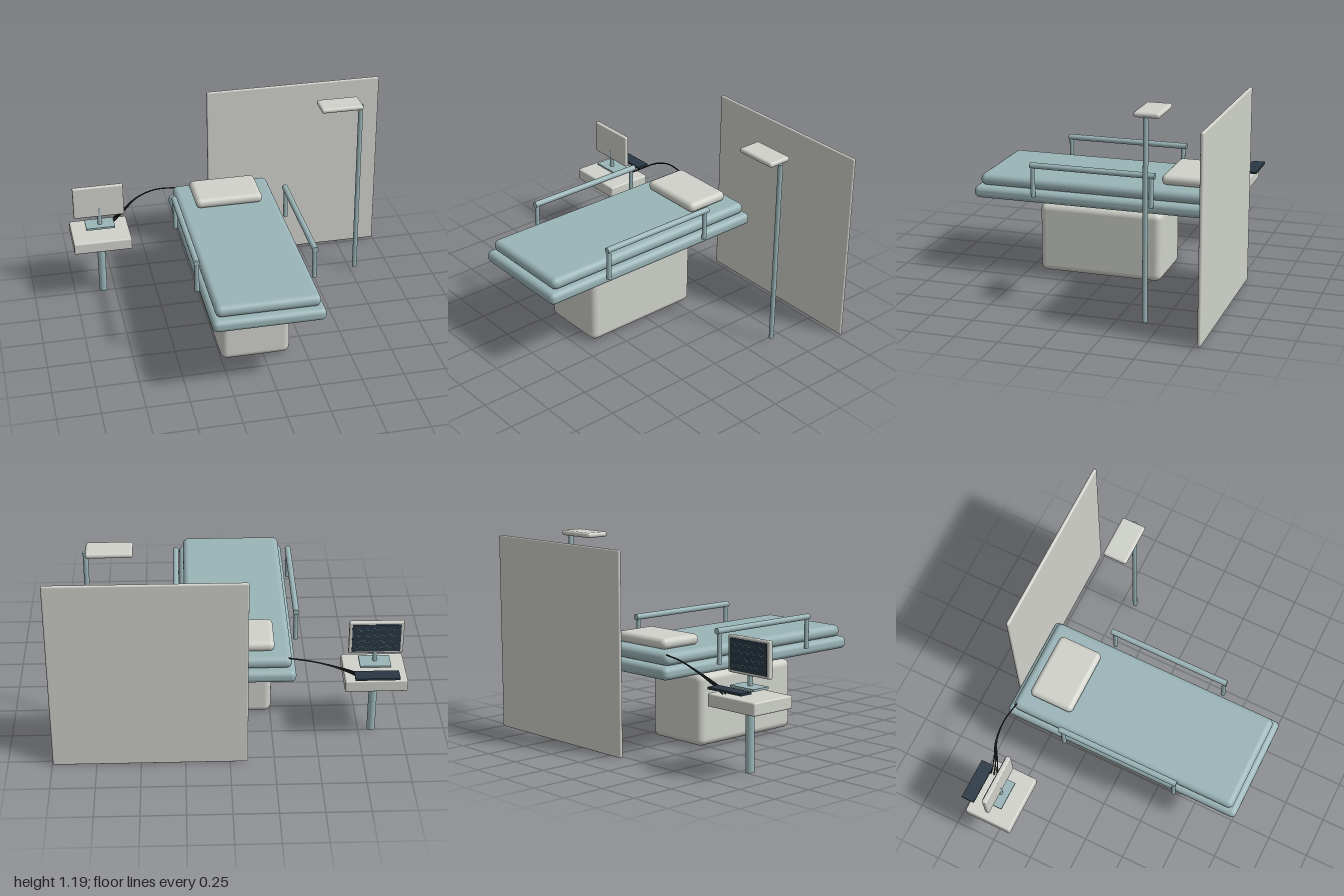
import * as THREE from 'three';
import { RoundedBoxGeometry } from 'three/addons/geometries/RoundedBoxGeometry.js';

const material = (name, color) => {
  const m = new THREE.MeshStandardMaterial({ color });
  m.name = name;
  return m;
};

export function createModel() {
  const shell = material('warm grey shell', 0xcfd1ca);
  const teal = material('dusty teal', 0x9ab4b7);
  const navy = material('dark navy', 0x2a3844);
  const black = material('cable black', 0x14181c);
  const trace = material('pale blue trace', 0x86aebb);

  const model = new THREE.Group();
  model.name = 'examinationRoom';

  const group = (name) => {
    const g = new THREE.Group();
    g.name = name;
    model.add(g);
    return g;
  };
  const add = (parent, name, geometry, mat, x = 0, y = 0, z = 0) => {
    const mesh = new THREE.Mesh(geometry, mat);
    mesh.name = name;
    mesh.position.set(x, y, z);
    parent.add(mesh);
    return mesh;
  };
  // Box given by its [min, max] range on each axis; r > 0 rounds the edges
  const box = (parent, name, mat, [x0, x1], [y0, y1], [z0, z1], r = 0) => {
    const size = [x1 - x0, y1 - y0, z1 - z0];
    const geometry = r
      ? new RoundedBoxGeometry(...size, 4, r)
      : new THREE.BoxGeometry(...size);
    return add(parent, name, geometry, mat, (x0 + x1) / 2, (y0 + y1) / 2, (z0 + z1) / 2);
  };
  const post = (parent, name, mat, r, x, z, y0, y1) =>
    add(parent, name, new THREE.CylinderGeometry(r, r, y1 - y0, 24), mat, x, (y0 + y1) / 2, z);

  // Bed: pedestal, frame, mattress and pillow
  const bed = group('bed');
  box(bed, 'pedestal', shell, [-0.255, 0.155], [0.015, 0.433], [-0.325, 0.42], 0.04);
  box(bed, 'bedFrame', teal, [-0.37, 0.272], [0.466, 0.539], [-0.695, 0.79], 0.03);
  box(bed, 'mattress', teal, [-0.348, 0.248], [0.539, 0.61], [-0.665, 0.758], 0.034);
  box(bed, 'pillow', shell, [-0.253, 0.155], [0.61, 0.672], [-0.598, -0.323], 0.03);

  // Side rails
  for (const [side, x] of [['right', -0.389], ['left', 0.292]]) {
    const rail = group(side + 'SideRail');
    for (const z of [0.407, -0.305]) post(rail, 'railPost', teal, 0.0135, x, z, 0.515, 0.703);
    const bar = new THREE.CylinderGeometry(0.0175, 0.0175, 0.75, 24).rotateX(Math.PI / 2);
    add(rail, 'railBar', bar, teal, x, 0.703, 0.047);
  }

  // Privacy panel behind the bed
  box(model, 'privacyPanel', shell, [-0.1, 0.997], [0.004, 1.166], [-0.788, -0.768], 0.009);

  // Overhead lamp on a pole
  const lamp = group('lamp');
  post(lamp, 'lampPole', teal, 0.0145, 0.778, -0.417, 0.022, 1.166);
  box(lamp, 'lampHead', shell, [0.52, 0.777], [1.16, 1.19], [-0.49, -0.345], 0.014);

  // Equipment stand
  const stand = group('equipmentStand');
  post(stand, 'standColumn', teal, 0.024, -0.825, -0.5, 0.015, 0.37);
  box(stand, 'standTray', shell, [-1, -0.648], [0.367, 0.44], [-0.646, -0.358], 0.01);
  box(stand, 'keyboard', navy, [-0.948, -0.698], [0.475, 0.488], [-0.692, -0.613]);

  // Monitor, its screen facing backwards
  const monitor = group('monitor');
  box(monitor, 'monitorFoot', teal, [-0.912, -0.737], [0.474, 0.486], [-0.563, -0.45]);
  post(monitor, 'monitorNeck', teal, 0.0135, -0.825, -0.5, 0.48, 0.597);
  box(monitor, 'monitorCase', shell, [-0.98, -0.673], [0.541, 0.745], [-0.516, -0.488], 0.008);
  box(monitor, 'screen', navy, [-0.963, -0.69], [0.556, 0.73], [-0.52, -0.515]);

  // Wavy readings on the screen
  for (let row = 0; row < 4; row++) {
    const points = [];
    for (let i = 0; i <= 24; i++) {
      const y = 0.586 + row * 0.038 + 0.008 * Math.sin(i * 1.3 + row);
      points.push(new THREE.Vector3(-0.945 + i * 0.00985, y, -0.5205));
    }
    const curve = new THREE.CatmullRomCurve3(points);
    add(monitor, 'screenTrace', new THREE.TubeGeometry(curve, 72, 0.0015, 5), trace);
  }

  // Cables from the stand to the head of the bed
  const cables = group('cables');
  for (let i = 0; i < 3; i++) {
    const z = -0.575 - i * 0.02;
    const curve = new THREE.CatmullRomCurve3([
      new THREE.Vector3(-0.737, 0.442, z),
      new THREE.Vector3(-0.67, 0.488, z * 0.6 - 0.258),
      new THREE.Vector3(-0.575, 0.55, -0.652 - i * 0.003),
      new THREE.Vector3(-0.46, 0.59, -0.664),
      new THREE.Vector3(-0.32, 0.602, -0.643),
    ]);
    add(cables, 'cable', new THREE.TubeGeometry(curve, 40, 0.004, 8), black);
  }

  return model;
}
